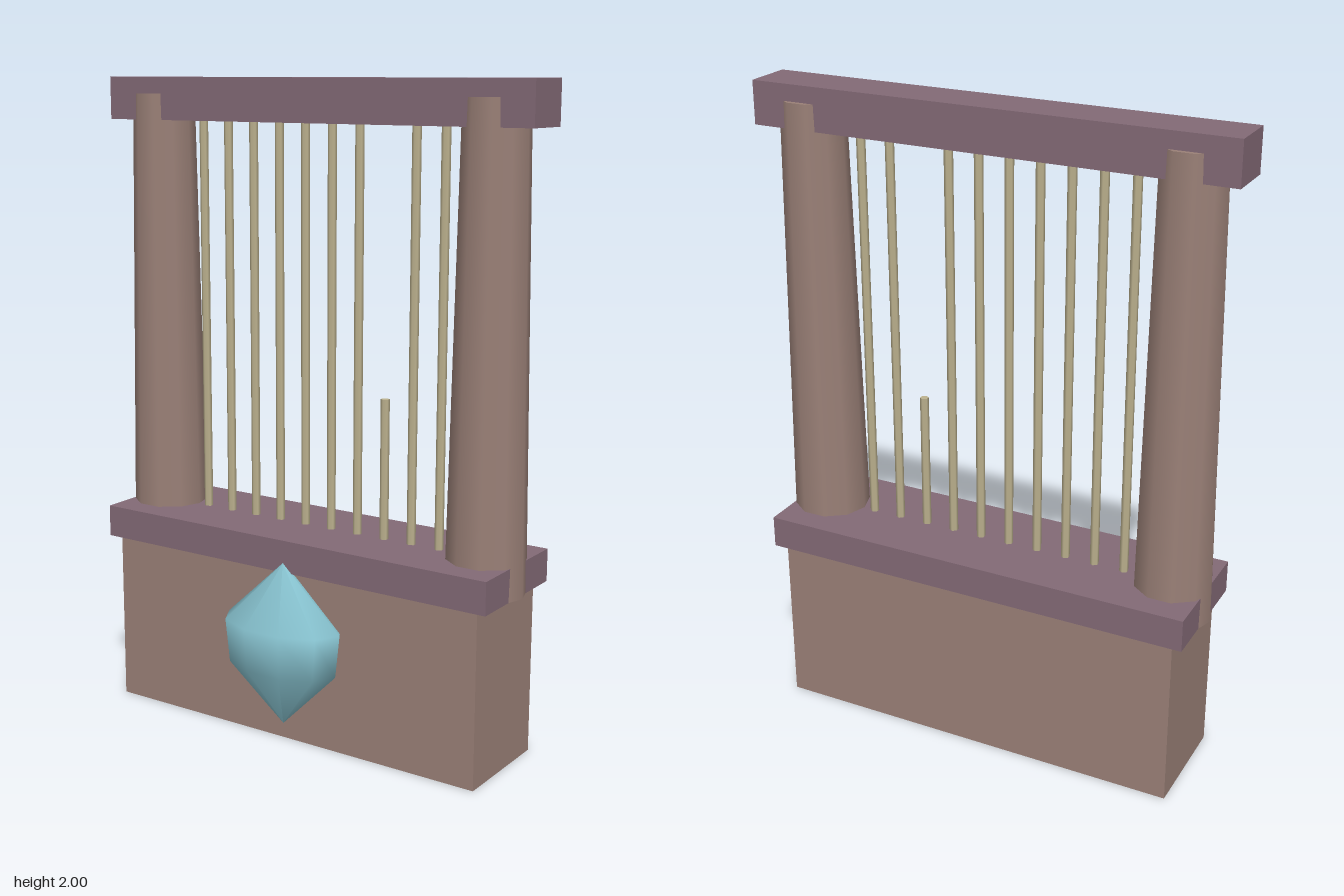
import * as THREE from 'three';

export function createModel() {
  const model = new THREE.Group();
  const mat = (name, color) => {
    const m = new THREE.MeshStandardMaterial({ color });
    m.name = name;
    return m;
  };
  const stone = mat('brown stone', 0x9a8077);
  const trim = mat('mauve trim', 0x836a76);
  const brass = mat('pale brass', 0xbdb28f);
  const crystal = mat('blue crystal', 0x87c2cf);
  const Z = -0.06; // centre plane of the frame

  const add = (name, geometry, material, x, y, z = Z) => {
    const mesh = new THREE.Mesh(geometry, material);
    mesh.name = name;
    mesh.position.set(x, y, z);
    model.add(mesh);
    return mesh;
  };

  // Plinth, ledge and top beam
  add('base', new THREE.BoxGeometry(1.31, 0.54, 0.345), stone, 0, 0.27);
  add('ledge', new THREE.BoxGeometry(1.38, 0.1, 0.38), trim, 0, 0.59);
  add('topBeam', new THREE.BoxGeometry(1.48, 0.13, 0.154), trim, 0, 1.935);

  // Tapered ten-sided columns, poking slightly out of the beam and ledge
  const columnGeo = new THREE.CylinderGeometry(0.096, 0.12, 1.41, 10, 1, false, Math.PI / 2);
  add('leftColumn', columnGeo, stone, 0.587, 1.245);
  add('rightColumn', columnGeo, stone, -0.587, 1.245);

  // Row of bars, one of them broken off short
  for (let i = 0; i < 10; i++) {
    const broken = i === 7;
    const bottom = 0.62;
    const top = broken ? 1.07 : 1.89;
    const geo = new THREE.CylinderGeometry(0.0135, 0.0135, top - bottom, 6);
    add(broken ? 'brokenBar' : 'bar', geo, brass, -0.43 + (i * 0.86) / 9, (top + bottom) / 2);
  }

  // Flattened gem half sunk into the front of the base
  const profile = [[0, 0.055], [0.19, 0.245], [0.205, 0.38], [0, 0.57]]
    .map(([r, y]) => new THREE.Vector2(r, y));
  const gem = add('gem', new THREE.LatheGeometry(profile, 10, Math.PI / 2), crystal, 0, 0, 0.13);
  gem.scale.z = 0.59;

  return model;
}
